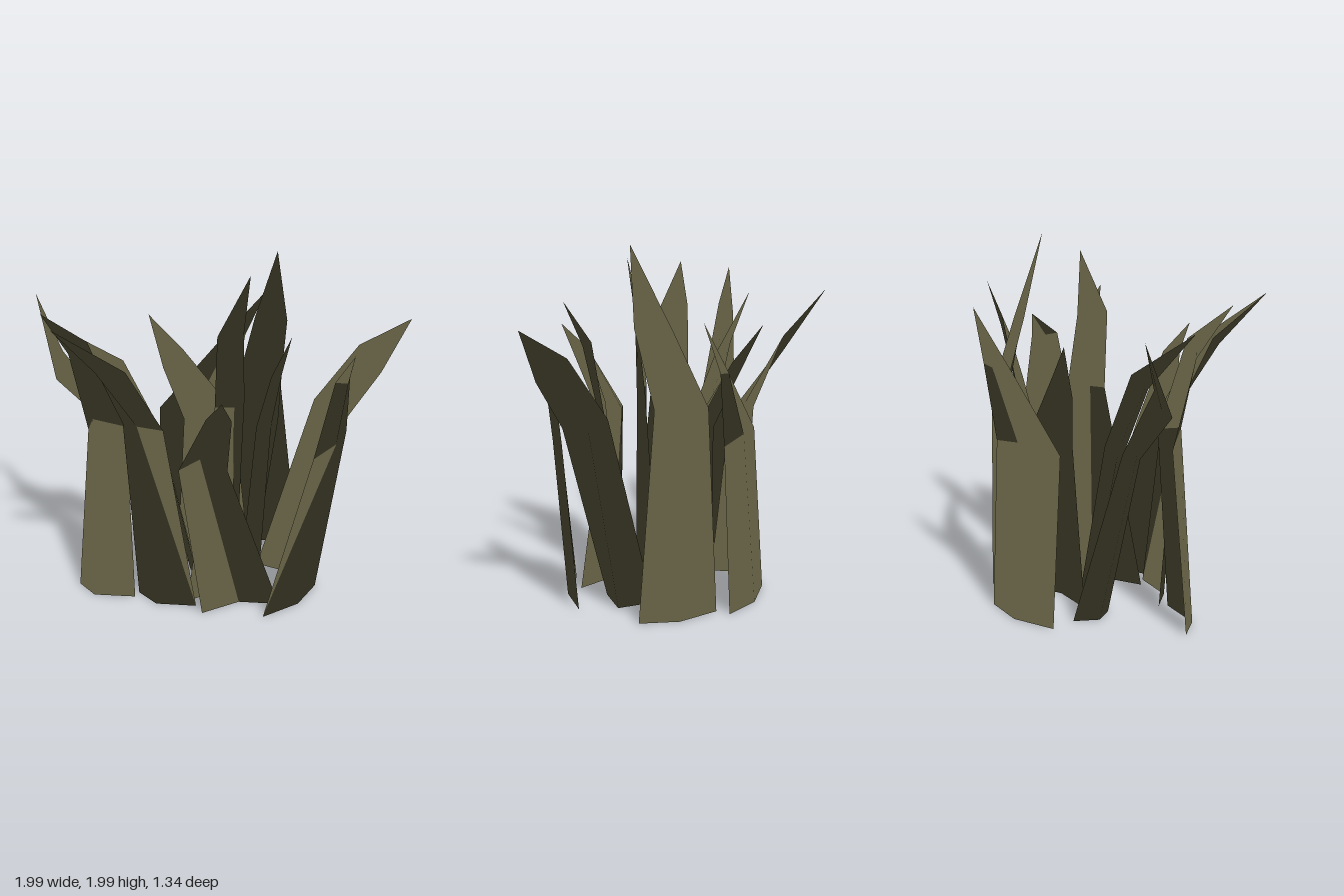
import * as THREE from 'three';

// Folded leaf surface: three root points, three mid points, three shoulder points, one tip.
const LEAF_FACES = [0, 1, 4, 0, 4, 3, 1, 2, 4, 2, 5, 4, 3, 4, 6, 4, 7, 6, 4, 8, 7, 4, 5, 8, 6, 7, 9, 7, 8, 9];

export function createModel() {
  const group = new THREE.Group();
  group.name = 'grassClump';
  const olive = new THREE.MeshStandardMaterial({ color: 0x5c593e, side: THREE.DoubleSide });
  olive.name = 'oliveGreen';

  // root: [x, z] pairs on the ground; mid, shoulder and tip: [x, y, z] points.
  // Upward normals light the whole leaf softly.
  function blade(name, root, mid, shoulder, tip) {
    const points = [...root.map(([x, z]) => [x, 0.01, z]), ...mid, ...shoulder, tip];
    const geometry = new THREE.BufferGeometry();
    geometry.setAttribute('position', new THREE.Float32BufferAttribute(points.flat(), 3));
    geometry.setAttribute('normal', new THREE.Float32BufferAttribute(points.flatMap(() => [0, 1, 0]), 3));
    geometry.setIndex(LEAF_FACES);
    const mesh = new THREE.Mesh(geometry, olive);
    mesh.name = name;
    group.add(mesh);
  }

  // Blades leaning to the right side of the clump (-x)
  blade('backRightBlade',
    [[-0.33, -0.46], [-0.42, -0.35], [-0.38, -0.24]],
    [[-0.61, 0.99, -0.39], [-0.64, 0.98, -0.31], [-0.6, 0.93, -0.24]],
    [[-0.87, 1.38, -0.46], [-0.91, 1.29, -0.45], [-0.92, 1.24, -0.38]],
    [-0.99, 1.66, -0.67]);
  blade('outerRightBlade',
    [[-0.87, -0.17], [-0.8, -0.03], [-0.57, 0.04]],
    [[-0.77, 1.0, -0.19], [-0.75, 1.1, -0.1], [-0.57, 1.05, -0.07]],
    [[-0.86, 1.48, -0.13], [-0.81, 1.5, -0.07], [-0.76, 1.56, -0.08]],
    [-1.0, 1.75, -0.03]);
  blade('frontRightBlade',
    [[-0.54, 0], [-0.46, 0.14], [-0.24, 0.21]],
    [[-0.6, 1.12, 0.04], [-0.54, 1.15, 0.16], [-0.4, 1.12, 0.18]],
    [[-0.76, 1.53, 0.13], [-0.75, 1.49, 0.2], [-0.6, 1.5, 0.25]],
    [-0.97, 1.77, 0.29]);
  blade('innerRightBlade',
    [[-0.16, -0.24], [-0.2, -0.19], [-0.17, -0.14]],
    [[-0.36, 0.95, -0.25], [-0.39, 0.93, -0.17], [-0.36, 0.9, -0.085]],
    [[-0.55, 1.37, -0.26], [-0.6, 1.31, -0.2], [-0.57, 1.28, -0.15]],
    [-0.915, 1.62, -0.21]);

  // Back blades
  blade('innerBackBlade',
    [[-0.26, -0.3], [-0.03, -0.25], [0.19, -0.31]],
    [[-0.2, 0.95, -0.33], [-0.02, 0.98, -0.29], [0.1, 0.97, -0.35]],
    [[-0.3, 1.24, -0.43], [-0.23, 1.28, -0.42], [-0.18, 1.34, -0.45]],
    [-0.36, 1.53, -0.55]);
  blade('outerBackBlade',
    [[-0.32, -0.6], [-0.08, -0.66], [0.14, -0.61]],
    [[-0.31, 0.95, -0.53], [-0.05, 0.98, -0.585], [0.14, 0.95, -0.56]],
    [[0.05, 1.34, -0.53], [0.14, 1.35, -0.58], [0.22, 1.36, -0.57]],
    [0.34, 1.64, -0.53]);
  blade('tallBackBlade',
    [[0.14, -0.53], [0.36, -0.42], [0.49, -0.24]],
    [[0.17, 1.16, -0.48], [0.33, 1.16, -0.42], [0.36, 1.16, -0.26]],
    [[0.21, 1.57, -0.28], [0.32, 1.56, -0.25], [0.36, 1.58, -0.14]],
    [0.28, 2.0, -0.07]);

  // Blades leaning to the left side of the clump (+x)
  blade('outerLeftBlade',
    [[0.21, -0.17], [0.37, -0.04], [0.24, 0.11]],
    [[0.51, 1.12, -0.07], [0.6, 1.1, 0], [0.65, 1.08, 0.12]],
    [[0.73, 1.47, 0.03], [0.8, 1.4, 0.08], [0.82, 1.35, 0.16]],
    [0.985, 1.64, 0.14]);
  blade('frontLeftBlade',
    [[0.11, 0.4], [0.34, 0.31], [0.49, 0.14]],
    [[0.41, 0.92, 0.29], [0.55, 0.98, 0.25], [0.645, 1.0, 0.13]],
    [[0.52, 1.36, 0.28], [0.6, 1.34, 0.26], [0.635, 1.34, 0.18]],
    [0.655, 1.47, 0.2]);

  // Central and front blades
  blade('centreBlade',
    [[-0.28, 0.15], [0.01, 0.05], [0.07, -0.13]],
    [[-0.09, 1.17, 0.04], [0.02, 1.16, 0.04], [0.1, 1.16, -0.06]],
    [[-0.08, 1.59, 0.07], [0.02, 1.57, 0.05], [0.08, 1.56, 0]],
    [0.105, 1.91, 0.05]);
  blade('innerFrontBlade',
    [[0.03, 0.12], [0.16, 0.07], [0.17, -0.11]],
    [[0.11, 1.1, 0.19], [0.19, 1.1, 0.2], [0.25, 1.1, 0.12]],
    [[0.17, 1.42, 0.27], [0.23, 1.43, 0.26], [0.25, 1.46, 0.19]],
    [0.25, 1.67, 0.37]);
  blade('outerFrontBlade',
    [[-0.22, 0.29], [0.01, 0.22], [0.23, 0.29]],
    [[-0.35, 0.96, 0.35], [-0.22, 0.98, 0.28], [-0.08, 0.92, 0.33]],
    [[-0.23, 1.32, 0.52], [-0.16, 1.31, 0.49], [-0.1, 1.3, 0.53]],
    [-0.18, 1.46, 0.67]);

  return group;
}
